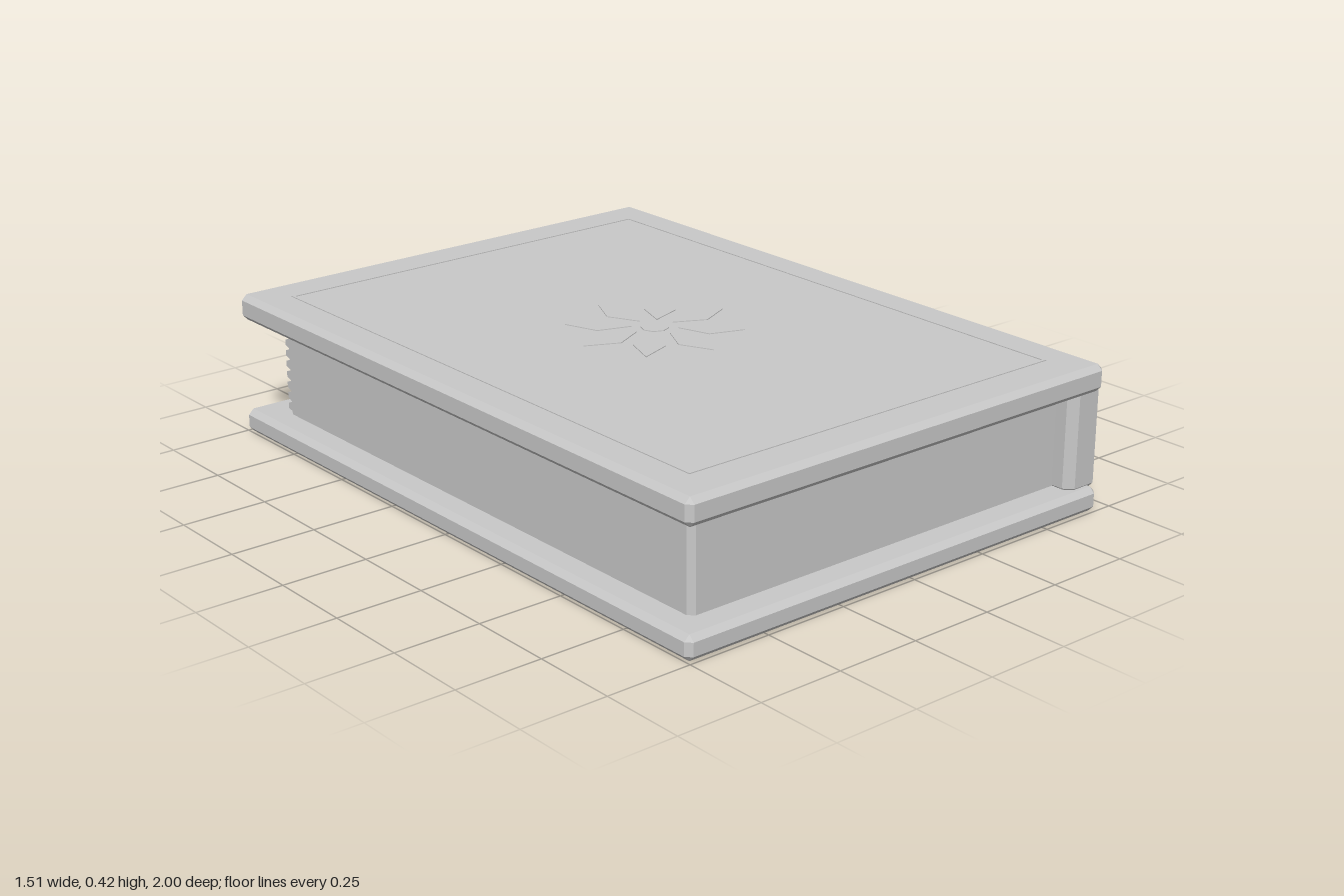
import * as THREE from 'three';
import { ConvexGeometry } from 'three/addons/geometries/ConvexGeometry.js';

const grey = new THREE.MeshStandardMaterial({ color: 0xc8c8c8 });
grey.name = 'light grey';

// Box between two corners with every edge and corner chamfered by c
function chamferBox(min, max, c) {
  const points = [];
  for (let i = 0; i < 8; i++) {
    const side = [i & 1, (i >> 1) & 1, (i >> 2) & 1];
    for (let axis = 0; axis < 3; axis++) {
      const p = side.map((s, k) => {
        const inset = k === axis ? 0 : c;
        return s ? max[k] - inset : min[k] + inset;
      });
      points.push(new THREE.Vector3(...p));
    }
  }
  return new ConvexGeometry(points);
}

// Thin plate lying flat on the front cover
function plate(shape) {
  const g = new THREE.ExtrudeGeometry(shape, { depth: 0.005, bevelEnabled: false, curveSegments: 4 });
  return g.rotateX(-Math.PI / 2);
}

function rectangle(Path, w, h) {
  return new Path([[-w, -h], [w, -h], [w, h], [-w, h]].map(([x, y]) => new THREE.Vector2(x, y)));
}

export function createModel() {
  const book = new THREE.Group();
  book.name = 'book';
  const add = (name, geometry, parent = book) => {
    const mesh = new THREE.Mesh(geometry, grey);
    mesh.name = name;
    parent.add(mesh);
    return mesh;
  };

  // Covers
  add('bottomCover', chamferBox([-0.755, 0, -1], [0.7, 0.07, 1], 0.016));
  add('topCover', chamferBox([-0.755, 0.345, -1], [0.7, 0.422, 1], 0.016));

  // Spine and its raised bands
  add('spine', chamferBox([0.606, 0.05, -0.977], [0.727, 0.387, 0.977], 0.024));
  for (const z of [-0.685, -0.365, 0.365, 0.685]) {
    add('spineBand', chamferBox([0.69, 0.062, z - 0.024], [0.755, 0.38, z + 0.024], 0.011));
  }

  // Page block
  add('pages', chamferBox([-0.676, 0.045, -0.885], [0.64, 0.335, 0.915], 0.016));

  // Ridged page edges at the back
  const ridges = 8, y0 = 0.065, y1 = 0.325, step = (y1 - y0) / ridges;
  const profile = new THREE.Shape().moveTo(-0.87, y0);
  for (let i = 0; i < ridges; i++) {
    const y = y0 + i * step;
    profile.lineTo(-0.892, y);
    profile.lineTo(-0.915, y + 0.25 * step);
    profile.lineTo(-0.915, y + 0.75 * step);
  }
  profile.lineTo(-0.892, y1).lineTo(-0.87, y1);
  const edges = new THREE.ExtrudeGeometry(profile, { depth: 1.27, bevelEnabled: false });
  add('pageEdges', edges.rotateY(-Math.PI / 2).translate(0.61, 0, 0));

  // Border line and flower on the front cover
  const ornament = new THREE.Group();
  ornament.name = 'coverOrnament';
  ornament.position.set(-0.027, 0.4195, 0);
  book.add(ornament);

  const border = rectangle(THREE.Shape, 0.625, 0.88);
  border.holes.push(rectangle(THREE.Path, 0.617, 0.872));
  add('border', plate(border), ornament);

  add('flowerCentre', plate(new THREE.Shape().absarc(0, 0, 0.04, 0, Math.PI * 2)), ornament);
  const petal = new THREE.Shape(
    [[0.065, 0], [0.155, -0.045], [0.25, 0], [0.155, 0.045]].map(([x, y]) => new THREE.Vector2(x, y)));
  for (let i = 0; i < 8; i++) {
    add('petal', plate(petal), ornament).rotation.y = (i * Math.PI) / 4;
  }
  return book;
}
